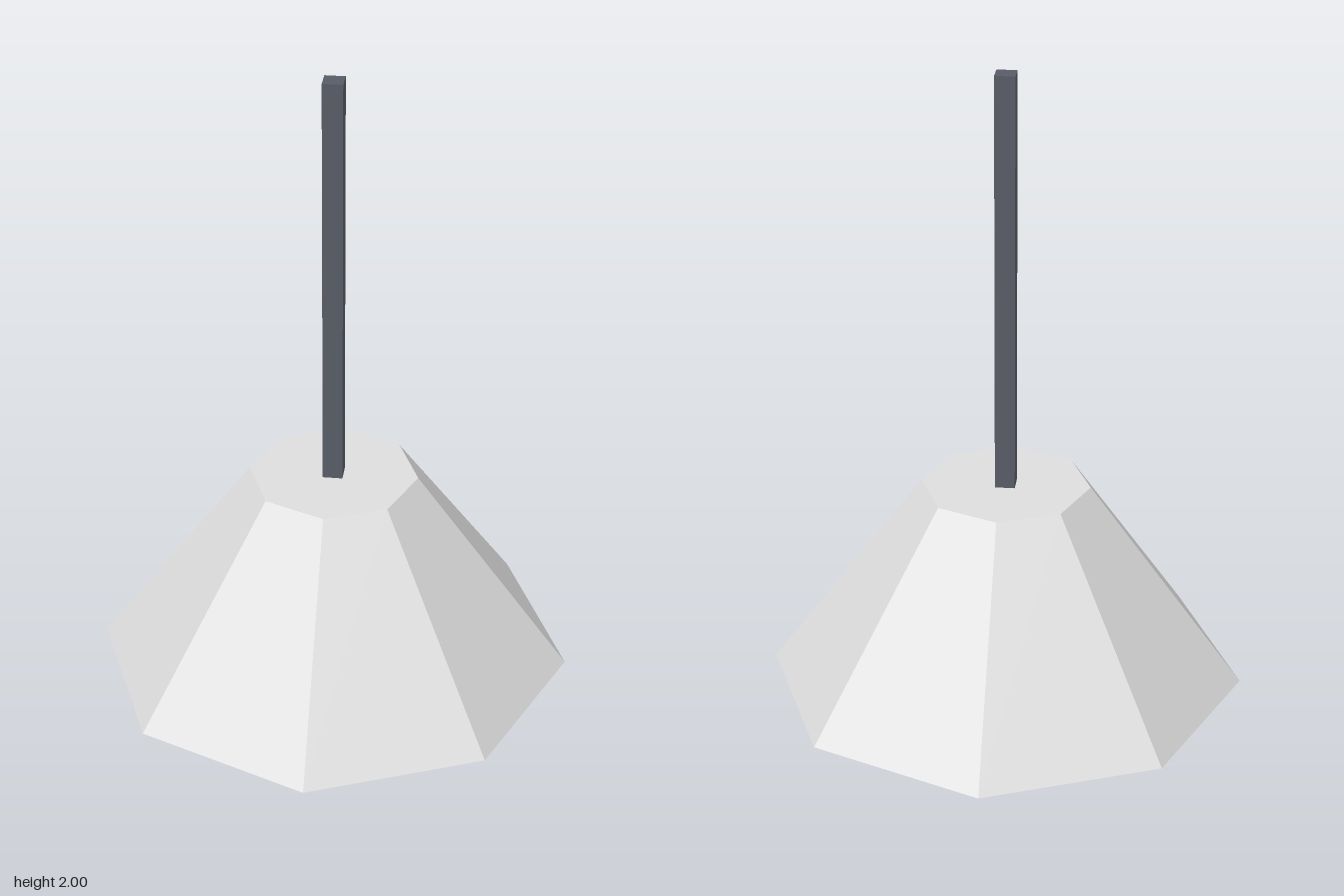
import * as THREE from 'three';

const lightGrey = new THREE.MeshStandardMaterial({ color: 0xdddddd, flatShading: true });
lightGrey.name = 'light grey';
const darkSlate = new THREE.MeshStandardMaterial({ color: 0x585c66, flatShading: true });
darkSlate.name = 'dark slate';

// Faceted upright frustum standing at the given height
function frustum(name, material, rTop, rBottom, y0, y1, sides) {
  const mesh = new THREE.Mesh(
    new THREE.CylinderGeometry(rTop, rBottom, y1 - y0, sides),
    material
  );
  mesh.name = name;
  mesh.position.y = (y0 + y1) / 2;
  return mesh;
}

export function createModel() {
  const model = new THREE.Group();
  model.name = 'shadeWithRod';
  // Eight-sided shade, closed at top and bottom
  model.add(frustum('shade', lightGrey, 0.266, 0.753, 0, 0.667, 8));
  // Four-sided rod rising from the shade's top
  model.add(frustum('rod', darkSlate, 0.044, 0.044, 0.66, 2, 4));
  return model;
}
